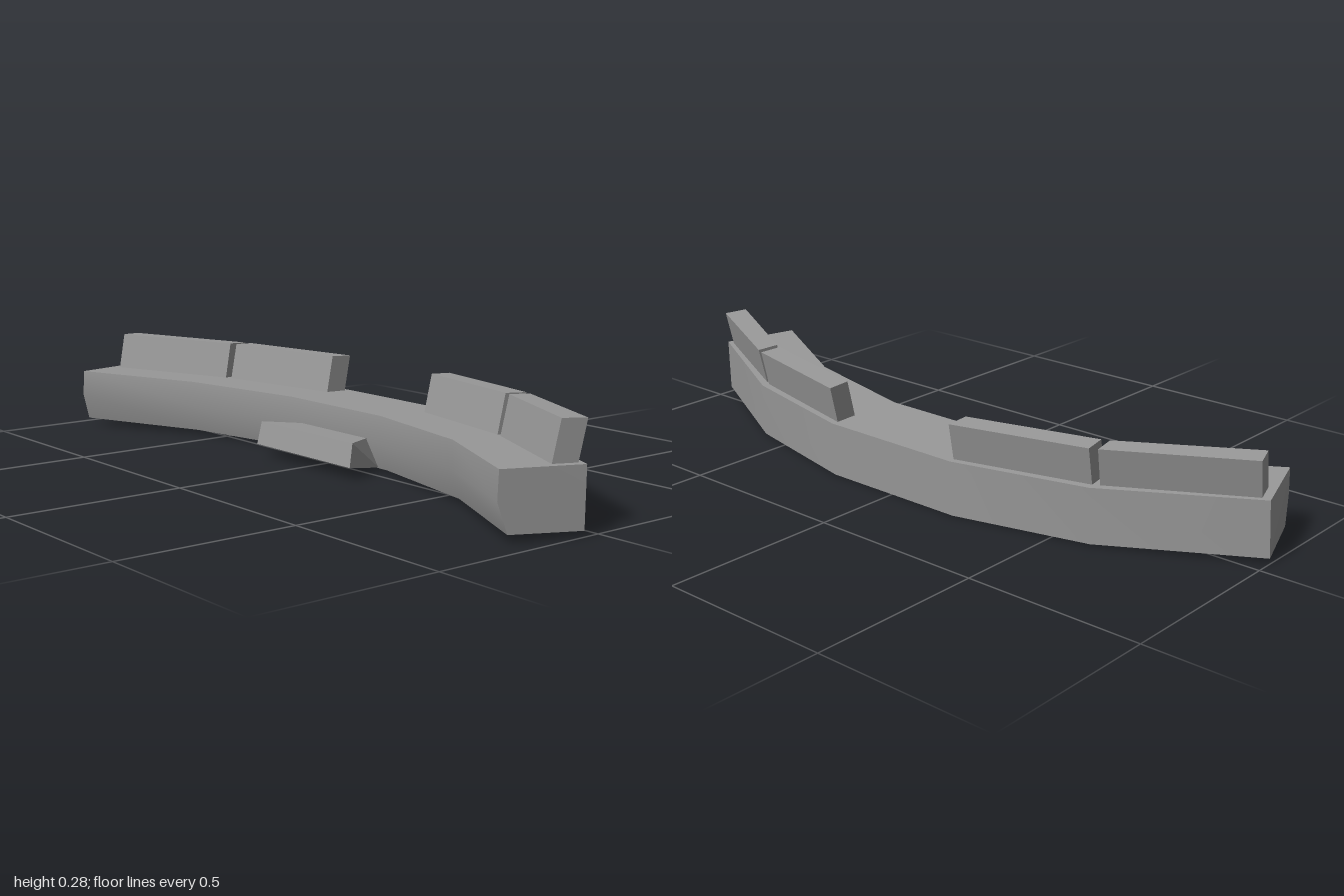
import * as THREE from 'three';
import { toCreasedNormals } from 'three/addons/utils/BufferGeometryUtils.js';

const BOTTOM = 0.0127, TOP = 0.168, MID = 0.087;
const FRONT_BOTTOM = 0.01, FRONT_TOP = 0.162; // front rim droops slightly
const TILT = 0.052;

// Skin a row of matching cross-sections (ordered from -x to +x) and cap both ends
function loft(rings, crease) {
  const n = rings[0].length;
  const pos = [];
  const tri = (...pts) => pts.forEach((p) => pos.push(...p));
  for (let i = 0; i < rings.length - 1; i++) {
    for (let j = 0; j < n; j++) {
      const k = (j + 1) % n;
      const a = rings[i][j], b = rings[i][k], c = rings[i + 1][k], d = rings[i + 1][j];
      tri(a, b, c);
      tri(a, c, d);
    }
  }
  const first = rings[0], last = rings[rings.length - 1];
  for (let j = 1; j < n - 1; j++) {
    tri(first[0], first[j + 1], first[j]);
    tri(last[0], last[j], last[j + 1]);
  }
  const g = new THREE.BufferGeometry();
  g.setAttribute('position', new THREE.Float32BufferAttribute(pos, 3));
  g.computeVertexNormals();
  return crease ? toCreasedNormals(g, crease) : g;
}

// Half-plan stations mirrored into a full -x to +x list
const mirrorStations = (half) => [
  ...half.map(([b, f]) => [[-b[0], b[1]], [-f[0], f[1]]]).reverse(),
  ...half,
];

export function createModel() {
  const group = new THREE.Group();
  const material = new THREE.MeshStandardMaterial({ color: 0x999999 });
  const add = (name, geometry) => {
    const mesh = new THREE.Mesh(geometry, material);
    mesh.name = name;
    mesh.rotation.x = -TILT;
    group.add(mesh);
  };

  // Curved body: back and front plan points at each joint
  const stations = mirrorStations([
    [[0.22, -0.243], [0.2, -0.011]],
    [[0.605, -0.157], [0.58, 0.078]],
    [[1.0, 0.048], [0.925, 0.261]],
  ]);
  const bodyRings = stations.map(([b, f]) => {
    const len = Math.hypot(f[0] - b[0], f[1] - b[1]);
    const t = 1 - 0.03 / len; // lower front edge is set back
    const low = [b[0] + (f[0] - b[0]) * t, b[1] + (f[1] - b[1]) * t];
    return [
      [b[0], BOTTOM, b[1]], [b[0] * 0.995, TOP, b[1]],
      [f[0], FRONT_TOP, f[1]], [f[0], MID, f[1]], [low[0], FRONT_BOTTOM, low[1]],
    ];
  });
  add('curvedBody', loft(bodyRings, 0.6));

  // Raised blocks on the back rim, leaning outward
  const blocks = [
    { name: 'InnerBlock', lean: [0.003, -0.018], ends: [
      [[0.215, -0.224], [0.215, -0.157]], [[0.597, -0.135], [0.587, -0.07]]] },
    { name: 'OuterBlock', lean: [0.006, -0.018], ends: [
      [[0.615, -0.126], [0.605, -0.062]], [[0.97, 0.051], [0.948, 0.116]]] },
  ];
  for (const { name, lean, ends } of blocks) {
    for (const side of [1, -1]) {
      const rings = ends.map(([b, f]) => [
        [side * b[0], FRONT_TOP, b[1]],
        [side * (b[0] + lean[0]), 0.272, b[1] + lean[1]],
        [side * (f[0] + lean[0]), 0.272, f[1] + lean[1]],
        [side * f[0], FRONT_TOP, f[1]],
      ]);
      if (side < 0) rings.reverse();
      add((side > 0 ? 'left' : 'right') + name, loft(rings));
    }
  }

  // Flared bracket at the front centre
  const bracketRings = [-1, 1].map((s) => [
    [s * 0.165, 0.011, -0.044], [s * 0.14, 0.092, -0.019],
    [s * 0.205, 0.095, 0.088], [s * 0.21, 0.029, 0.098],
  ]);
  add('frontBracket', loft(bracketRings));

  return group;
}
